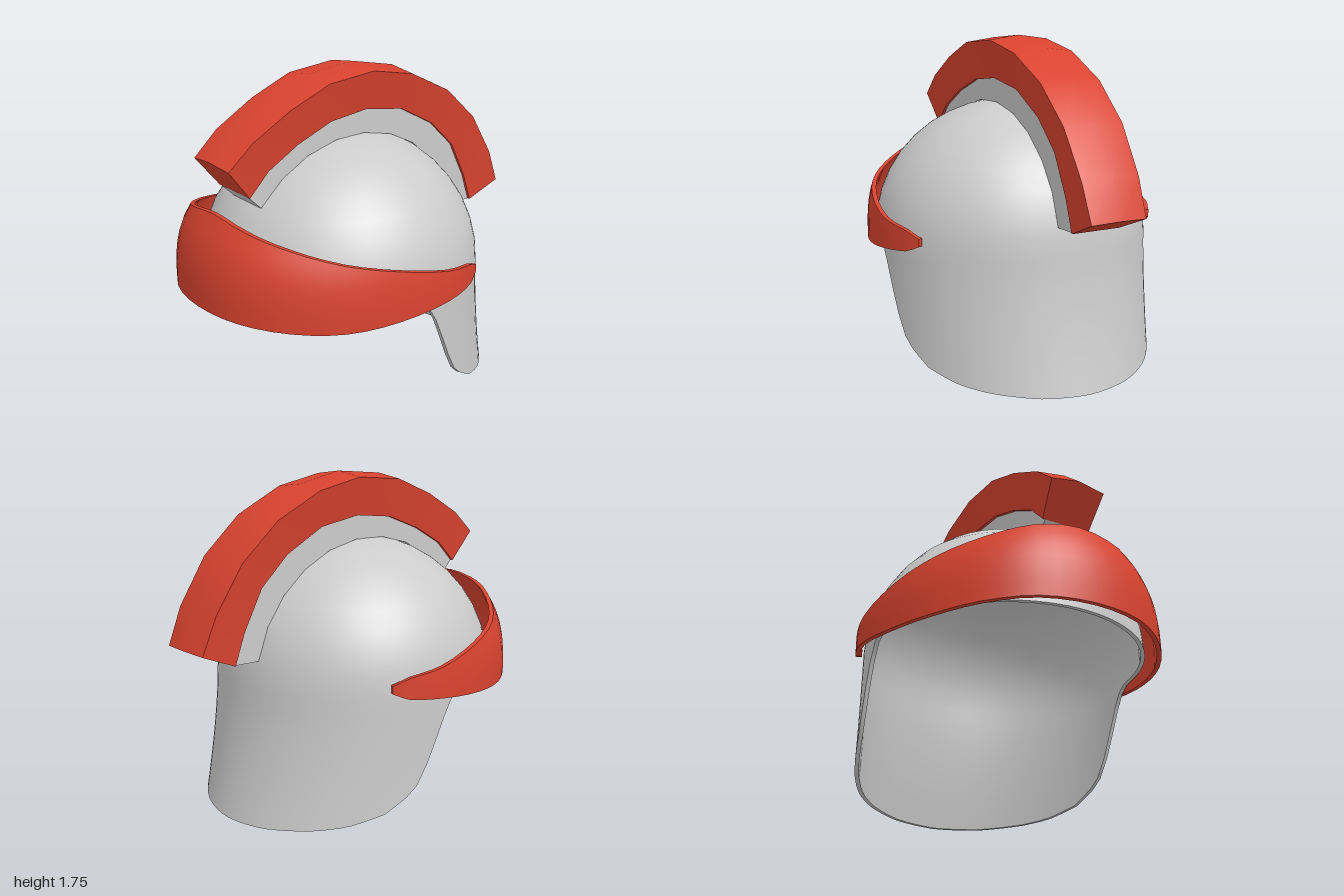
import * as THREE from 'three';
import { toCreasedNormals } from 'three/addons/utils/BufferGeometryUtils.js';

const grey = new THREE.MeshStandardMaterial({ color: 0xcccccc });
const red = new THREE.MeshStandardMaterial({ color: 0xd9432f });
const V = (x, y, z) => new THREE.Vector3(x, y, z);

// Skin a row of closed cross-sections, with end caps when asked
function loft(name, rings, material, caps, crease = 0.6) {
  const n = rings[0].length;
  const pts = rings.flat();
  let faces = [];
  for (let i = 0; i < rings.length - 1; i++) {
    for (let j = 0; j < n; j++) {
      const a = i * n + j, b = i * n + (j + 1) % n;
      faces.push([a, b, b + n], [a, b + n, a + n]);
    }
  }
  if (caps) {
    for (const start of [0, (rings.length - 1) * n]) {
      const c = V(0, 0, 0);
      for (let j = 0; j < n; j++) c.addScaledVector(pts[start + j], 1 / n);
      const k = pts.push(c) - 1;
      for (let j = 0; j < n; j++) {
        const a = start + j, b = start + (j + 1) % n;
        faces.push(start ? [a, b, k] : [b, a, k]);
      }
    }
  }
  // Keep the faces turned outward
  const volume = faces.reduce((s, [a, b, c]) => s + pts[a].dot(pts[b].clone().cross(pts[c])), 0);
  if (volume < 0) faces = faces.map(([a, b, c]) => [a, c, b]);
  const geo = new THREE.BufferGeometry().setFromPoints(pts);
  geo.setIndex(faces.flat());
  const mesh = new THREE.Mesh(toCreasedNormals(geo, crease), material);
  mesh.name = name;
  return mesh;
}

// Height of the lower rim by angle from the back, in degrees
const RIM = [[0, 0], [20, 0.008], [40, 0.03], [51, 0.05], [64, 0.1], [75, 0.2],
  [82, 0.38], [86, 0.53], [92, 0.66], [97, 0.7], [180, 0.7]];
function rimHeight(deg) {
  const d = deg > 180 ? 360 - deg : deg;
  const i = Math.max(1, RIM.findIndex(r => r[0] >= d));
  const [d0, y0] = RIM[i - 1], [d1, y1] = RIM[i];
  return y0 + (y1 - y0) * (d - d0) / (d1 - d0);
}

// Dome with a flared neck guard, as a thin double wall
function makeShell() {
  const base = 0.7, domeSteps = 10, skirtSteps = 8;
  const wall = (deg, inset) => {
    const t = THREE.MathUtils.degToRad(deg), line = [];
    const put = (y, f) => {
      const drop = Math.max(0, base - y) / base;
      const depth = 0.75 + 0.11 * Math.pow(drop, 1.5) - inset;
      line.push(V((0.745 - inset) * f * Math.sin(t), y, 0.1 - depth * f * Math.cos(t)));
    };
    for (let i = 0; i <= domeSteps; i++) {
      const p = i / domeSteps * Math.PI / 2;
      put(base + (0.71 - inset) * Math.cos(p), Math.sin(p));
    }
    for (let i = 1; i <= skirtSteps; i++) {
      put(THREE.MathUtils.lerp(base, rimHeight(deg), i / skirtSteps), 1);
    }
    return line;
  };
  const rings = [];
  for (let deg = 0; deg <= 360; deg += 4) {
    rings.push([...wall(deg, 0), ...wall(deg, 0.022).reverse()]);
  }
  return loft('helmetShell', rings, grey, false);
}

// Brow band: x, z, bottom, top, inward lean of the top edge (front to side tip)
const BAND = [[0, 1.0, 0.66, 1.125, 0.115], [0.28, 0.95, 0.655, 1.09, 0.1],
  [0.5, 0.8, 0.64, 1.03, 0.08], [0.66, 0.58, 0.63, 0.965, 0.045],
  [0.75, 0.32, 0.645, 0.905, 0.02], [0.785, 0.02, 0.68, 0.84, 0.008],
  [0.74, -0.17, 0.7, 0.81, 0], [0.7, -0.25, 0.735, 0.775, 0]];
function makeBand() {
  const all = [...BAND.slice(1).reverse().map(([x, ...r]) => [-x, ...r]), ...BAND];
  const path = new THREE.CatmullRomCurve3(all.map(b => V(b[0], 0, b[1])));
  const edge = new THREE.CatmullRomCurve3(all.map(b => V(b[2], b[3], b[4])));
  const steps = (all.length - 1) * 3, rows = 6, rings = [];
  for (let i = 0; i <= steps; i++) {
    const p = path.getPoint(i / steps), e = edge.getPoint(i / steps);
    const tan = path.getTangent(i / steps);
    const inward = V(tan.z, 0, -tan.x);
    if (inward.dot(p) > 0) inward.negate();
    const side = thick => Array.from({ length: rows + 1 }, (_, k) => {
      const v = k / rows;
      const q = p.clone().addScaledVector(inward, e.z * v ** 3 + thick);
      q.y = THREE.MathUtils.lerp(e.x, e.y, v);
      return q;
    });
    rings.push([...side(0), ...side(0.024).reverse()]);
  }
  return loft('browBand', rings, red, true);
}

// Crest arcs in z, y from front to back
const CREST_TOP = [[0.895, 1.39], [0.755, 1.51], [0.53, 1.635], [0.29, 1.73], [0, 1.755],
  [-0.27, 1.7], [-0.54, 1.57], [-0.76, 1.377], [-0.92, 1.136], [-1, 0.943]];
const CREST_LOW = [[0.755, 1.21], [0.64, 1.325], [0.46, 1.425], [0.25, 1.505], [0.02, 1.53],
  [-0.225, 1.49], [-0.45, 1.37], [-0.61, 1.22], [-0.72, 1.01], [-0.777, 0.85]];

// Crest plume with a slightly peaked top
function makePlume() {
  const rings = CREST_TOP.map(([z, y], i) => {
    const [lz, ly] = CREST_LOW[i];
    const w = 0.153 + 0.019 * Math.sin(i / 9 * Math.PI);
    const sy = y + (ly - y) * 0.1, sz = z + (lz - z) * 0.1;
    return [V(-w, sy, sz), V(0, y, z), V(w, sy, sz), V(0.135, ly, lz), V(-0.135, ly, lz)];
  });
  return loft('crestPlume', rings, red, true);
}

// Crest holder, sunk slightly into the dome
function makeHolder() {
  const rings = CREST_LOW.map(([z, y], i) => {
    const a = THREE.MathUtils.degToRad(THREE.MathUtils.lerp(38.5, 168, i / 9));
    const iz = 0.1 + 0.745 * Math.cos(a), iy = 0.7 + 0.705 * Math.sin(a);
    return [V(-0.12, y, z), V(0.12, y, z), V(0.12, iy, iz), V(-0.12, iy, iz)];
  });
  return loft('crestHolder', rings, grey, true);
}

export function createModel() {
  const helmet = new THREE.Group();
  helmet.name = 'crestedHelmet';
  helmet.add(makeShell(), makeBand(), makePlume(), makeHolder());
  return helmet;
}
